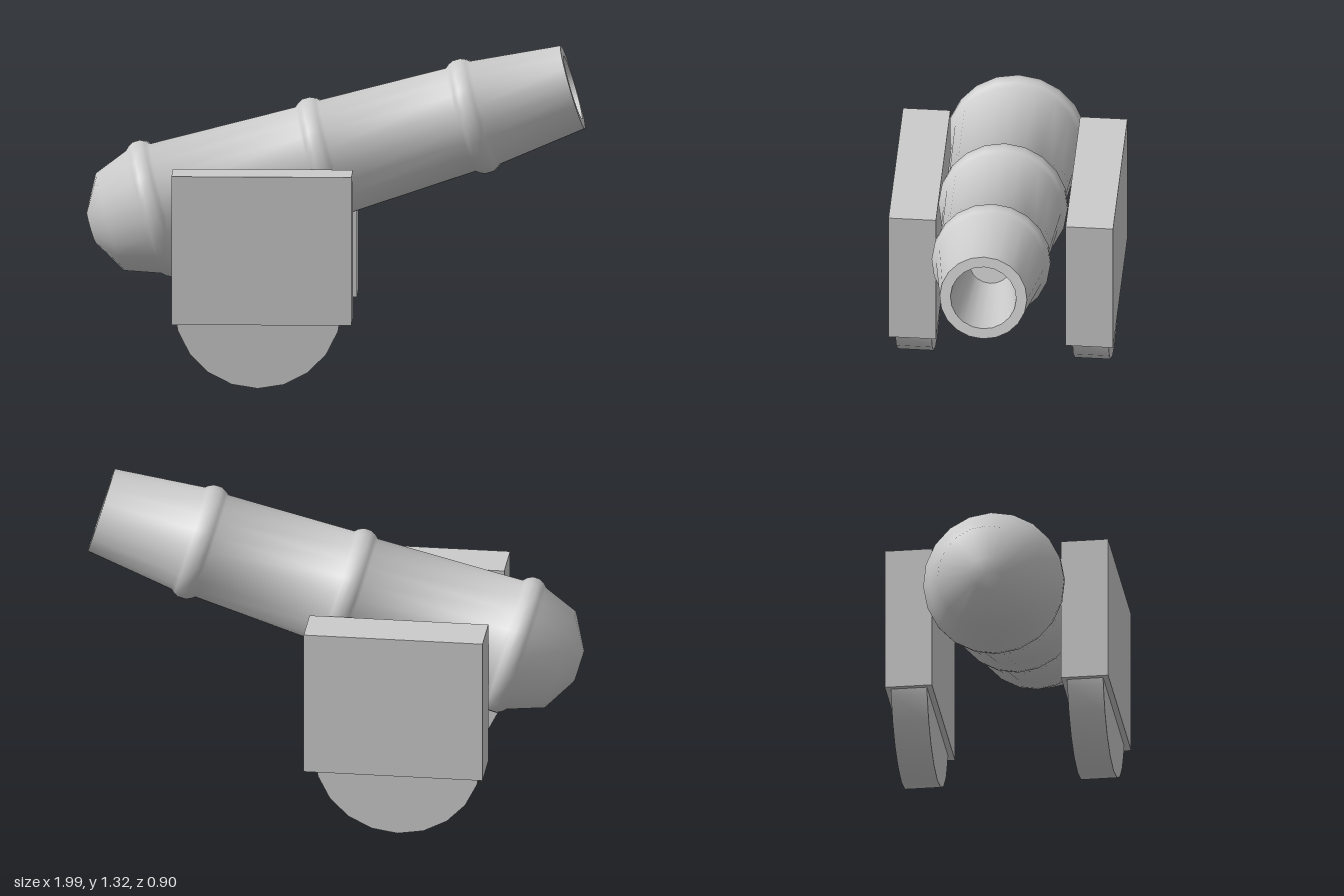
import * as THREE from 'three';
import { toCreasedNormals } from 'three/addons/utils/BufferGeometryUtils.js';

const SIDES = 20;

export function createModel() {
  const model = new THREE.Group();
  model.name = 'cannon';
  const material = new THREE.MeshStandardMaterial({ color: 0xcccccc });

  function add(parent, name, geometry, x = 0, y = 0, z = 0) {
    const mesh = new THREE.Mesh(geometry, material);
    mesh.name = name;
    mesh.position.set(x, y, z);
    parent.add(mesh);
    return mesh;
  }

  // Rounded reinforcing band: body radius r, height h, centred at s on the barrel axis
  const band = (s, r, h) => [[-0.05, 0], [-0.035, 0.55], [-0.015, 0.95], [0.015, 0.95], [0.035, 0.55], [0.05, 0]]
    .map(([ds, k]) => [r + h * k, s + ds]);

  // Barrel profile (radius, distance along the axis), from breech to muzzle and into the bore
  const profile = [
    [0, -2.01], [0.065, -2.01], [0.205, -1.93],
    ...band(-1.738, 0.258, 0.027),
    ...band(-1.037, 0.236, 0.024),
    ...band(-0.415, 0.217, 0.022),
    [0.175, 0], [0.132, 0],
    [0.087, -0.39], [0, -0.39],
  ].map(([r, s]) => new THREE.Vector2(r, s));

  const barrel = add(model, 'barrel', toCreasedNormals(new THREE.LatheGeometry(profile, SIDES), 0.9), 0.946, 1.157, 0);
  barrel.rotation.z = THREE.MathUtils.degToRad(16.7 - 90);

  // Carriage cheeks, each with a wheel set into its underside
  for (const [side, sign] of [['front', 1], ['back', -1]]) {
    const cheek = new THREE.Group();
    cheek.name = side + 'Carriage';
    model.add(cheek);
    add(cheek, side + 'Cheek', new THREE.BoxGeometry(0.72, 0.6, 0.19), -0.285, 0.56, sign * 0.355);
    const wheel = toCreasedNormals(new THREE.CylinderGeometry(0.337, 0.337, 0.145, SIDES), 0.6);
    wheel.rotateX(Math.PI / 2);
    add(cheek, side + 'Wheel', wheel, -0.3, 0.337, sign * 0.355);
  }

  return model;
}
